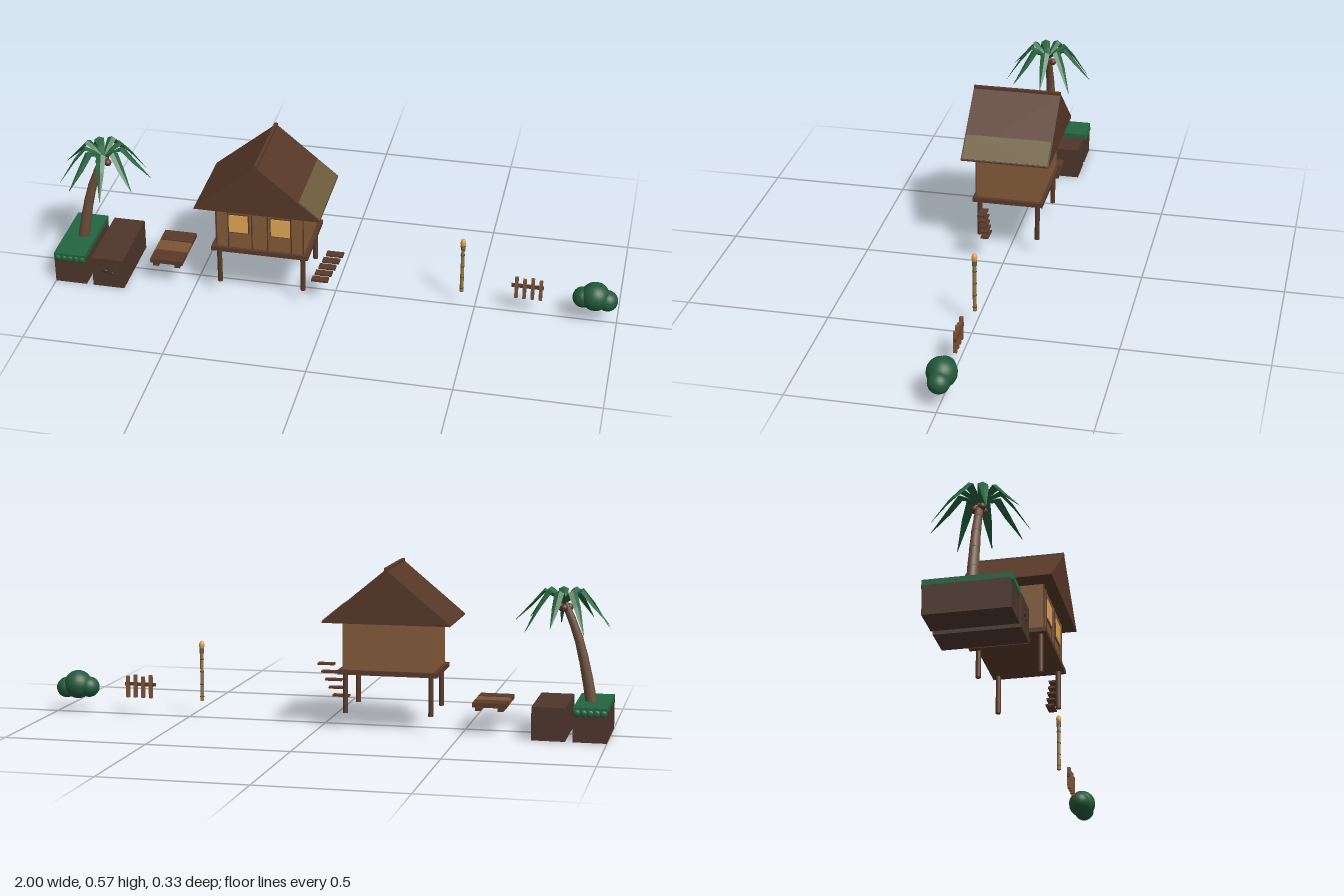
import * as THREE from 'three';

const mat = (color, flatShading = false) => {
  const m = new THREE.MeshStandardMaterial({ flatShading });
  m.color.set(color);
  return m;
};
const M = {
  dirt: mat(0x4e372c), pebble: mat(0x3a2a22), grass: mat(0x23653f), wood: mat(0x593a2a),
  plank: mat(0x7d5434), wall: mat(0x855c3a), roof: mat(0x573828), thatch: mat(0x6c5c3c),
  glow: mat(0xe5a855), trunk: mat(0x6b4f3c), frond: mat(0x24633c, true), bush: mat(0x23593a),
  bamboo: mat(0x94793f), collar: mat(0x6a6058), flame: mat(0xe5a040),
};

function add(parent, name, geo, material, x = 0, y = 0, z = 0) {
  const mesh = new THREE.Mesh(geo, material);
  mesh.name = name;
  mesh.position.set(x, y, z);
  parent.add(mesh);
  return mesh;
}
// Box given by its lower and upper corners
function box(parent, name, material, x0, x1, y0, y1, z0, z1) {
  return add(parent, name, new THREE.BoxGeometry(x1 - x0, y1 - y0, z1 - z0), material,
    (x0 + x1) / 2, (y0 + y1) / 2, (z0 + z1) / 2);
}
function ball(parent, name, material, r, x, y, z, sx = 1, sy = 1, sz = 1) {
  const b = add(parent, name, new THREE.SphereGeometry(r, 20, 14), material, x, y, z);
  b.scale.set(sx, sy, sz);
  return b;
}
function group(parent, name) {
  const g = new THREE.Group();
  g.name = name;
  parent.add(g);
  return g;
}
// Tapered cylinder between two points
function limb(parent, name, material, a, b, ra, rb, sides = 10) {
  const d = b.clone().sub(a);
  const m = add(parent, name, new THREE.CylinderGeometry(rb, ra, d.length(), sides), material);
  m.position.copy(a).addScaledVector(d, 0.5);
  m.quaternion.setFromUnitVectors(new THREE.Vector3(0, 1, 0), d.normalize());
  return m;
}

// Leaf blade: diamond section swept along an arching line in the x-y plane
function frondGeometry(reach, drop) {
  const rows = [[0, 0, 0.005], [0.2, 0.025, 0.012], [0.4, 0.042, 0.017], [0.65, -0.005, 0.013], [1, -drop, 0.001]];
  const pos = [], index = [];
  rows.forEach(([t, y, w], i) => {
    const x = t * reach, h = w * 0.5;
    pos.push(x, y + h, 0, x, y, w, x, y - h, 0, x, y, -w);
    for (let k = 0; i && k < 4; k++) {
      const a = (i - 1) * 4 + k, b = (i - 1) * 4 + (k + 1) % 4;
      index.push(a, b, a + 4, b, b + 4, a + 4);
    }
  });
  const g = new THREE.BufferGeometry();
  g.setAttribute('position', new THREE.Float32BufferAttribute(pos, 3));
  g.setIndex(index);
  g.computeVertexNormals();
  return g;
}

function buildGround(root) {
  const grassBlock = group(root, 'grassBlock');
  box(grassBlock, 'soil', M.dirt, -1, -0.885, 0, 0.1, -0.139, 0.139);
  box(grassBlock, 'turf', M.grass, -1, -0.885, 0.1, 0.119, -0.141, 0.141);
  for (const s of [-1, 1])
    for (let i = 0; i < 5; i++)
      ball(grassBlock, 'turfTuft', M.grass, 0.013, -0.987 + i * 0.0223, 0.1, s * 0.137, 1, 1, 0.6);

  const soilBlock = group(root, 'soilBlock');
  box(soilBlock, 'soil', M.dirt, -0.86, -0.745, 0, 0.115, -0.139, 0.139);
  for (const [x, y, r] of [[-0.813, 0.065, 0.009], [-0.787, 0.057, 0.006], [-0.774, 0.066, 0.004]])
    ball(soilBlock, 'pebble', M.pebble, r, x, y, 0.138, 1.2, 0.8, 0.6);
}

function buildPalm(root) {
  const palm = group(root, 'palm');
  const curve = new THREE.CatmullRomCurve3([[-0.933, 0.11], [-0.91, 0.235], [-0.88, 0.35], [-0.838, 0.45]]
    .map(([x, y]) => new THREE.Vector3(x, y, 0)));
  const n = 5;
  for (let i = 0; i < n; i++)
    limb(palm, 'trunkSegment', M.trunk, curve.getPoint(i / n), curve.getPoint((i + 1.06) / n > 1 ? 1 : (i + 1.06) / n),
      0.021 - i * 0.0016, 0.0185 - i * 0.0016);
  // Crown
  const count = 9;
  for (let i = 0; i < count; i++) {
    const f = add(palm, 'frond', frondGeometry(i % 2 ? 0.16 : 0.17, i % 2 ? 0.09 : 0.065), M.frond, -0.836, 0.452, 0);
    f.rotation.y = (i / count) * Math.PI * 2;
  }
  for (let i = 0; i < 3; i++) {
    const a = i * 2.1 + 0.5;
    ball(palm, 'coconut', M.wood, 0.013, -0.836 + Math.cos(a) * 0.018, 0.438, Math.sin(a) * 0.018);
  }
}

function buildBridge(root) {
  const bridge = group(root, 'plankBridge');
  for (const i of [-1, 0, 1])
    box(bridge, 'plank', i ? M.wood : M.plank, -0.655, -0.537, 0.097, 0.113, i * 0.068 - 0.031, i * 0.068 + 0.031);
  for (const x of [-0.635, -0.557])
    box(bridge, 'runner', M.wood, x - 0.01, x + 0.01, 0.085, 0.098, -0.098, 0.098);
}

function buildHut(root) {
  const hut = group(root, 'hut');
  const cx = -0.246;
  for (const sx of [-1, 1])
    for (const sz of [-1, 1])
      add(hut, 'stilt', new THREE.CylinderGeometry(0.009, 0.009, 0.14, 12), M.wood, cx + sx * 0.15, 0.13, sz * 0.105);
  box(hut, 'floor', M.wood, -0.42, -0.073, 0.197, 0.213, -0.127, 0.127);
  box(hut, 'walls', M.wall, -0.405, -0.088, 0.213, 0.385, -0.115, 0.115);
  // Front battens and lit windows
  for (const dx of [0.155, 0.112, 0.028])
    for (const s of [-1, 1])
      box(hut, 'batten', M.wood, cx + s * dx - 0.002, cx + s * dx + 0.002, 0.213, 0.38, 0.114, 0.118);
  for (const s of [-1, 1]) {
    const x = cx + s * 0.075;
    box(hut, 'windowFrame', M.wood, x - 0.038, x + 0.038, 0.274, 0.35, 0.114, 0.1185);
    box(hut, 'window', M.glow, x - 0.034, x + 0.034, 0.278, 0.346, 0.114, 0.121);
  }
  // Gable roof
  const tri = new THREE.Shape();
  tri.moveTo(-0.222, 0.379);
  tri.lineTo(0.222, 0.379);
  tri.lineTo(0.222, 0.384);
  tri.lineTo(0, 0.568);
  tri.lineTo(-0.222, 0.384);
  tri.closePath();
  add(hut, 'roof', new THREE.ExtrudeGeometry(tri, { depth: 0.314, bevelEnabled: false }), M.roof, cx, 0, -0.157);
  box(hut, 'ridge', M.wood, cx - 0.006, cx + 0.006, 0.562, 0.573, -0.157, 0.157);
  const patch = add(hut, 'thatchPatch', new THREE.BoxGeometry(0.095, 0.004, 0.304), M.thatch, cx + 0.184, 0.416, 0);
  patch.rotation.z = -Math.atan2(0.184, 0.222);

  // Steps beside the hut
  const stairs = group(root, 'stairs');
  for (let i = 0; i < 5; i++)
    add(stairs, 'step', new THREE.BoxGeometry(0.06, 0.007, 0.028), M.wood, -0.042 + i * 0.0135, 0.088 + i * 0.028, 0.07);
}

function buildTorch(root) {
  const torch = group(root, 'torch');
  const x = 0.452;
  add(torch, 'pole', new THREE.CylinderGeometry(0.006, 0.007, 0.175, 12), M.bamboo, x, 0.1475, 0);
  for (const y of [0.075, 0.12, 0.165, 0.21])
    add(torch, 'poleRing', new THREE.CylinderGeometry(0.0077, 0.0077, 0.003, 12), M.wood, x, y, 0);
  add(torch, 'collar', new THREE.CylinderGeometry(0.009, 0.008, 0.018, 12), M.collar, x, 0.24, 0);
  ball(torch, 'flame', M.flame, 0.0095, x, 0.26, 0, 1, 1.75, 1);
}

function buildFence(root) {
  const fence = group(root, 'fence');
  box(fence, 'rail', M.wood, 0.627, 0.74, 0.104, 0.116, -0.004, 0.004);
  for (let i = 0; i < 4; i++) {
    const x = 0.645 + i * 0.0285;
    box(fence, 'picket', M.plank, x - 0.006, x + 0.006, 0.061, i % 2 ? 0.138 : 0.144, -0.005, 0.007);
  }
}

function buildBush(root) {
  const bush = group(root, 'bush');
  for (const [x, y, r] of [[0.92, 0.101, 0.051], [0.878, 0.093, 0.037], [0.963, 0.088, 0.037]])
    ball(bush, 'foliage', M.bush, r, x, y, 0);
}

export function createModel() {
  const root = new THREE.Group();
  root.name = 'islandVillageKit';
  [buildGround, buildPalm, buildBridge, buildHut, buildTorch, buildFence, buildBush].forEach(f => f(root));
  return root;
}
